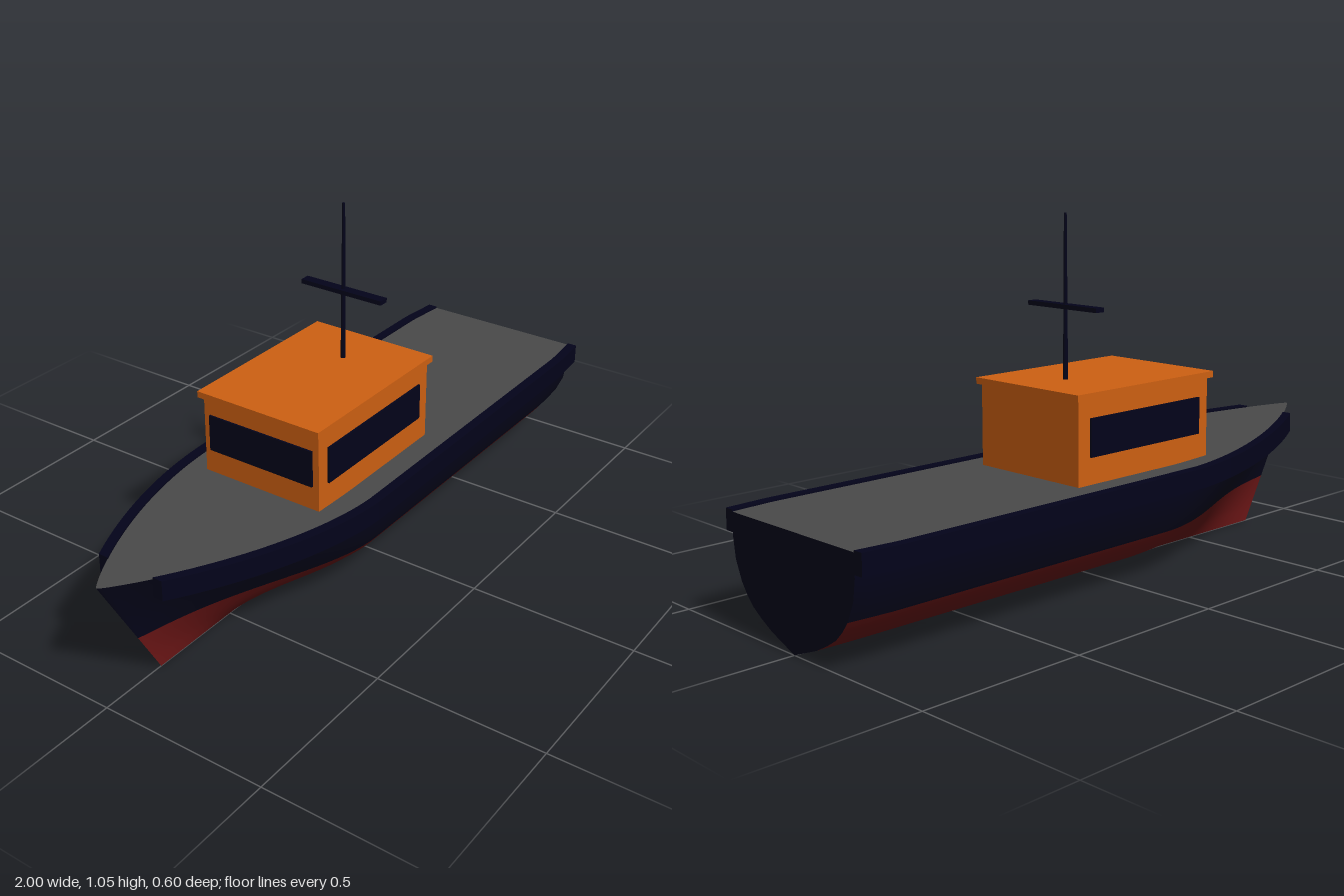
import * as THREE from 'three';

const paint = (name, color) => {
  const m = new THREE.MeshStandardMaterial({ color });
  m.name = name;
  return m;
};

// Plan half-width and sheer height of the deck edge at x
const bowT = (x) => Math.min(1, Math.max(0, (x + 1) / 0.8));
const sternT = (x) => Math.max(0, (x - 0.87) / 0.13);
const halfWidth = (x) => {
  const t = bowT(x);
  const bow = 1 - Math.pow(1 - t, 1.75) + 0.12 * Math.sqrt(t) * (1 - t) ** 2;
  return 0.272 * bow - 0.012 * sternT(x);
};
const sheer = (x) => 0.32 + 0.05 * Math.pow(1 - bowT(x), 1.3);

// Hull section: [height, share of the half-width]; the last row sits on the sheer
const SECTION = [[0, 0], [0.037, 0.37], [0.06, 0.54], [0.083, 0.68], [0.11, 0.785], [0.14, 0.87],
  [0.195, 0.965], [0.255, 1], [null, 1]];
const WATERLINE = 5;

// Point on the +z side of the hull: u runs bow to stern, row runs keel to sheer
function hullPoint(u, row) {
  const deckX = -1 + 2 * u;
  const top = sheer(deckX);
  const [h, full] = SECTION[row];
  const y = h === null ? top : h;
  const stem = -1 + 0.21 * (1 - y / 0.37);
  const fine = Math.pow(y / top, 1.2);
  const share = THREE.MathUtils.lerp(fine, full, THREE.MathUtils.smoothstep(bowT(deckX), 0, 1));
  const x = h === null ? deckX : THREE.MathUtils.lerp(stem, 1, u);
  return [x, y, halfWidth(deckX) * share];
}

// Surface through rows of points; side -1 mirrors it across the centre line
function grid(nu, nv, point, side = 1, flat = false) {
  const pos = [], index = [];
  for (let i = 0; i <= nu; i++) {
    for (let j = 0; j <= nv; j++) {
      const [x, y, z] = point(i, j);
      pos.push(x, y, z * side);
      if (i === nu || j === nv) continue;
      const a = i * (nv + 1) + j, b = a + nv + 1;
      if (side > 0) index.push(a, b, b + 1, a, b + 1, a + 1);
      else index.push(a, b + 1, b, a, a + 1, b + 1);
    }
  }
  let g = new THREE.BufferGeometry();
  g.setAttribute('position', new THREE.Float32BufferAttribute(pos, 3));
  g.setIndex(index);
  if (flat) g = g.toNonIndexed();
  g.computeVertexNormals();
  return g;
}

export function createModel() {
  const navy = paint('navy', 0x03031a);
  const red = paint('bottomRed', 0x6c1616);
  const grey = paint('deckGrey', 0x4a4a4a);
  const orange = paint('cabinOrange', 0xce6012);

  const model = new THREE.Group();
  model.name = 'boat';
  const add = (name, geometry, material, x = 0, y = 0, z = 0) => {
    const mesh = new THREE.Mesh(geometry, material);
    mesh.name = name;
    mesh.position.set(x, y, z);
    model.add(mesh);
    return mesh;
  };
  const box = (name, material, [x0, x1], [y0, y1], [z0, z1]) =>
    add(name, new THREE.BoxGeometry(x1 - x0, y1 - y0, z1 - z0), material,
      (x0 + x1) / 2, (y0 + y1) / 2, (z0 + z1) / 2);

  // Stations crowd towards the rounded bow
  const N = 64;
  const station = (i) => Math.pow(i / N, 1.5);
  const last = SECTION.length - 1;
  for (const side of [1, -1]) {
    const label = side > 0 ? 'Left' : 'Right';

    // Hull plating below and above the waterline
    add('hullBottom' + label, grid(N, WATERLINE, (i, j) => hullPoint(station(i), j), side), red);
    add('topside' + label,
      grid(N, last - WATERLINE, (i, j) => hullPoint(station(i), j + WATERLINE), side), navy);

    // Rubbing rail along the deck edge, closed at both ends
    add('rail' + label, grid(N + 2, 4, (i, j) => {
      const s = Math.min(N, Math.max(0, i - 1)) / N;
      const x = -0.88 + 1.88 * s;
      const w = halfWidth(x), top = sheer(x) + 0.005;
      if (i === 0 || i === N + 2) return [x, top - 0.03, w + 0.014];
      const outer = j % 4 < 2, upper = j === 1 || j === 2;
      return [x, upper ? top : top - 0.06, outer ? w + 0.029 : w - 0.001];
    }, side, true), navy);
  }

  // Transom closing the stern
  const outline = [];
  for (let j = 0; j <= last; j++) {
    const [, y, z] = hullPoint(1, j);
    outline.push(new THREE.Vector2(z, y));
    if (j > 0) outline.unshift(new THREE.Vector2(-z, y));
  }
  add('transom', new THREE.ShapeGeometry(new THREE.Shape(outline)), navy, 1, 0, 0).rotation.y = Math.PI / 2;

  // Deck following the sheer
  add('deck', grid(N, 2, (i, j) => {
    const [x, y, z] = hullPoint(station(i), last);
    return [x, y, z * (1 - j)];
  }), grey);

  // Cabin, roof and windows
  box('cabin', orange, [-0.342, 0.197], [0.315, 0.562], [-0.197, 0.197]);
  box('cabinRoof', orange, [-0.358, 0.21], [0.561, 0.58], [-0.207, 0.207]);
  box('windowLeft', navy, [-0.302, 0.153], [0.398, 0.508], [0.195, 0.203]);
  box('windowRight', navy, [-0.302, 0.153], [0.398, 0.508], [-0.203, -0.195]);
  box('windowForward', navy, [-0.348, -0.34], [0.398, 0.508], [-0.177, 0.177]);

  // Mast with its crossbar
  add('mast', new THREE.CylinderGeometry(0.0042, 0.0075, 0.478, 12), navy, 0.052, 0.815, 0);
  box('crossbar', navy, [0.037, 0.068], [0.784, 0.797], [-0.137, 0.137]);

  return model;
}
